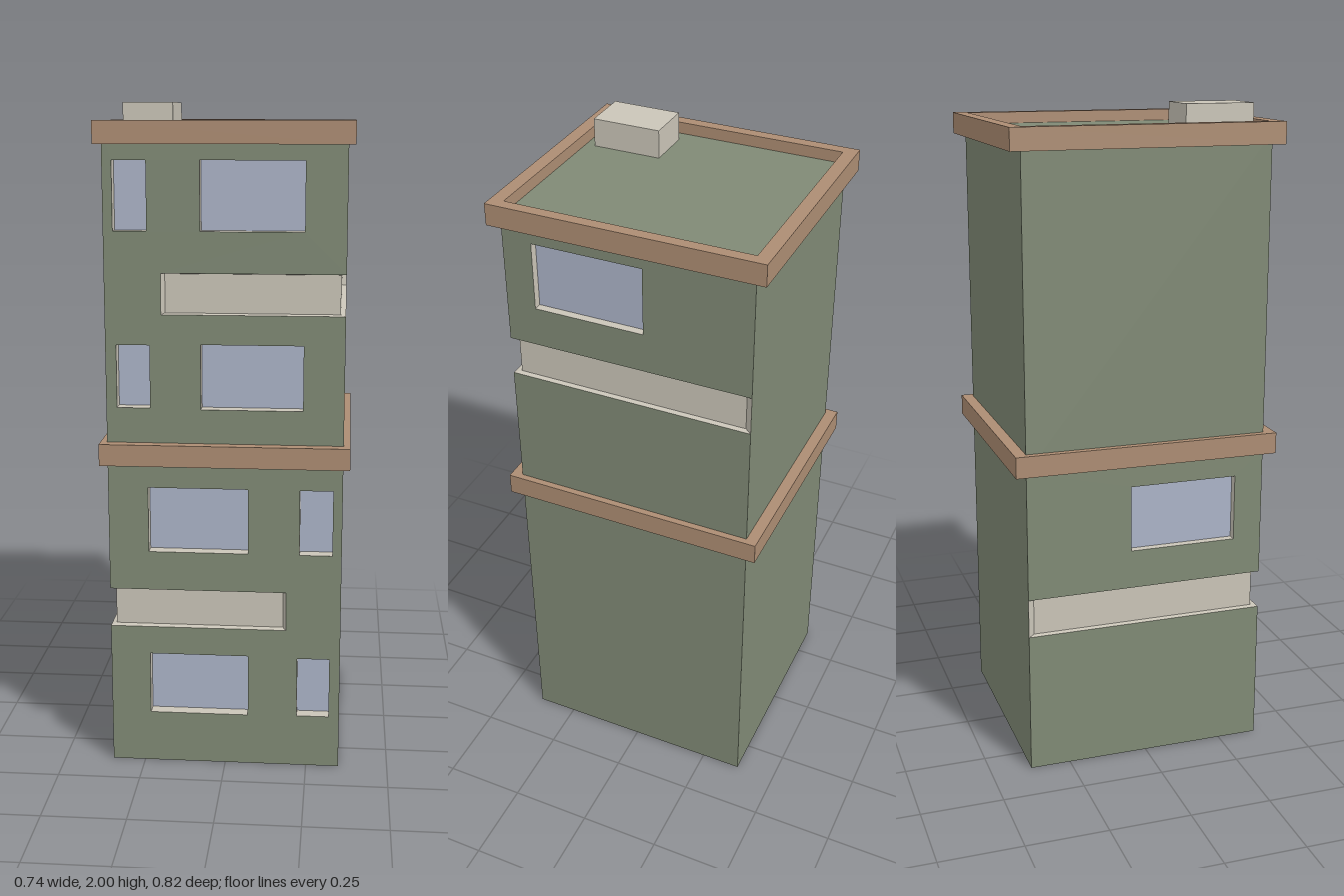
import * as THREE from 'three';

const mat = (name, color) => {
  const m = new THREE.MeshStandardMaterial({ color, side: THREE.DoubleSide });
  m.name = name;
  return m;
};

export function createModel() {
  const green = mat('wall green', 0x808a75);
  const brown = mat('cornice brown', 0xad8d73);
  const beige = mat('trim beige', 0xcac5b8);
  const glass = mat('window glass', 0xacb4c8);

  const W = 0.35, D = 0.375, H = 0.96; // half width, half depth, storey-pair height
  const G0 = 0.44, G1 = 0.56;          // recessed band bottom and top

  const add = (parent, name, geometry, material, x = 0, y = 0, z = 0) => {
    const mesh = new THREE.Mesh(geometry, material);
    mesh.name = name;
    mesh.position.set(x, y, z);
    parent.add(mesh);
    return mesh;
  };

  // flat-shaded surface from four-cornered faces
  const quads = (list) => {
    const pos = list.flatMap(([a, b, c, d]) => [a, b, c, a, c, d].flat());
    const g = new THREE.BufferGeometry();
    g.setAttribute('position', new THREE.Float32BufferAttribute(pos, 3));
    g.computeVertexNormals();
    return g;
  };

  const corners = (x0, x1, y0, y1) => [[x0, y0], [x1, y0], [x1, y1], [x0, y1]];
  const toPoints = (list) => list.map(([x, y]) => new THREE.Vector2(x, y));

  // wall sheet with window openings
  const wall = (parent, outline, windows) => {
    const shape = new THREE.Shape(toPoints(outline));
    windows.forEach((w) => shape.holes.push(new THREE.Path(toPoints(corners(...w).reverse()))));
    add(parent, 'wall', new THREE.ShapeGeometry(shape), green);
  };

  // recessed pane with its four reveals
  const addWindow = (parent, [x0, x1, y0, y1], depth) => {
    const c = corners(x0, x1, y0, y1);
    add(parent, 'windowReveal', quads(c.map((p, i) => {
      const q = c[(i + 1) % 4];
      return [[...p, 0], [...q, 0], [...q, -depth], [...p, -depth]];
    })), beige);
    add(parent, 'windowPane', new THREE.PlaneGeometry(x1 - x0, y1 - y0), glass,
      (x0 + x1) / 2, (y0 + y1) / 2, -depth);
  };

  // half of the tower: two storeys with a recessed band round one corner
  const createHalf = (name) => {
    const half = new THREE.Group();
    half.name = name;

    const front = new THREE.Group();
    front.name = 'frontWall';
    front.position.z = D;
    const openings = [
      [-0.07, 0.23, 0.68, 0.88], [-0.322, -0.224, 0.68, 0.88],
      [-0.07, 0.23, 0.16, 0.353], [-0.318, -0.22, 0.163, 0.35],
    ];
    wall(front, [[-W, 0], [W, 0], [W, G0], [-0.185, G0], [-0.185, G1], [W, G1], [W, H], [-W, H]], openings);
    openings.forEach((w) => addWindow(front, w, 0.04));

    const side = new THREE.Group();
    side.name = 'bandSideWall';
    side.position.x = W;
    side.rotation.y = Math.PI / 2;
    const sideOpening = [-0.285, 0.05, 0.68, 0.885];
    wall(side, corners(-D, D, 0, G0), []);
    wall(side, corners(-D, D, G1, H), [sideOpening]);
    addWindow(side, sideOpening, 0.025);

    const plain = new THREE.Group();
    plain.name = 'plainSideWall';
    plain.position.x = -W;
    plain.rotation.y = -Math.PI / 2;
    wall(plain, corners(-D, D, 0, H), []);

    const back = new THREE.Group();
    back.name = 'backWall';
    back.position.z = -D;
    back.rotation.y = Math.PI;
    wall(back, corners(-W, W, 0, H), []);

    // recessed band: one channel section at each station, outer and inner plan points
    const stations = [
      [[-0.185, D], [-0.175, 0.355]],
      [[W, D], [0.335, 0.355]],
      [[W, -D], [0.335, -0.355]],
    ].map(([[ox, oz], [ix, iz]]) => [
      [ox, G0, oz], [ix, G0 + 0.003, iz], [ix, G1 - 0.003, iz], [ox, G1, oz],
    ]);
    const faces = [stations[0], [...stations[2]].reverse()];
    for (let s = 0; s < 2; s++) {
      const a = stations[s], b = stations[s + 1];
      for (let k = 0; k < 3; k++) faces.push([a[k], b[k], b[k + 1], a[k + 1]]);
    }
    add(half, 'recessedBand', quads(faces), beige);

    half.add(front, side, plain, back);
    return half;
  };

  const model = new THREE.Group();
  model.name = 'towerBuilding';

  const lower = createHalf('lowerStoreys');
  lower.scale.x = -1;
  const upper = createHalf('upperStoreys');
  upper.position.y = H;
  model.add(lower, upper);

  // rectangular cornice rings
  const ring = new THREE.Shape(toPoints(corners(-0.37, 0.37, -0.41, 0.41)));
  ring.holes.push(new THREE.Path(toPoints(corners(-0.335, 0.335, -0.369, 0.369).reverse())));
  const ringGeometry = new THREE.ExtrudeGeometry(ring, { depth: 0.065, bevelEnabled: false });
  ringGeometry.rotateX(-Math.PI / 2);
  add(model, 'middleCornice', ringGeometry, brown, 0, 0.953, 0);
  add(model, 'roofCornice', ringGeometry, brown, 0, 1.885, 0);

  // roof deck and rooftop unit
  const deck = new THREE.PlaneGeometry(0.672, 0.74);
  deck.rotateX(-Math.PI / 2);
  add(model, 'roofDeck', deck, green, 0, 1.915, 0);
  add(model, 'roofUnit', new THREE.BoxGeometry(0.143, 0.085, 0.21), beige, -0.22, 1.9575, 0.235);

  return model;
}
